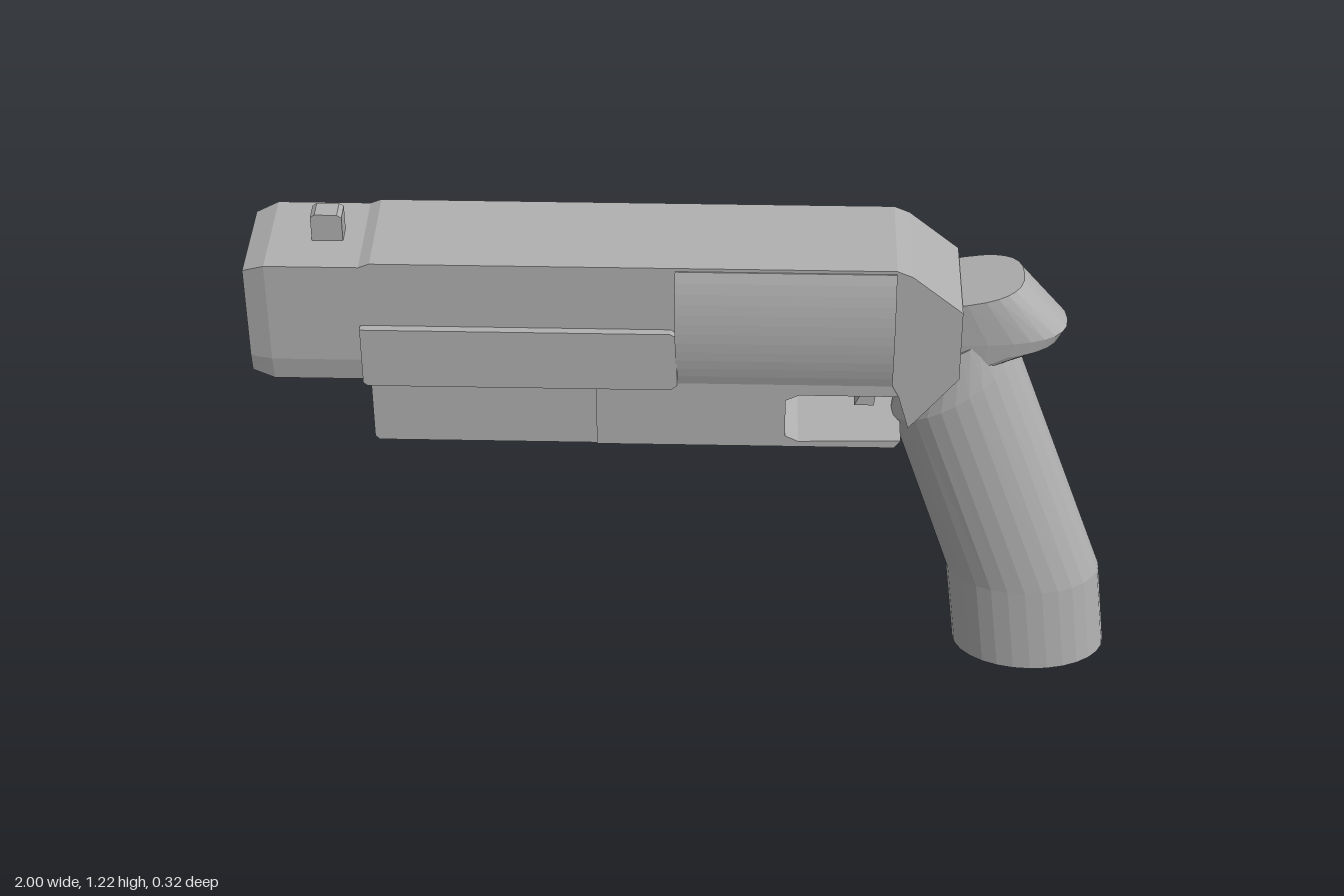
import * as THREE from 'three';

// Skins a list of cross-section rings with flat facets, facing outward
function loft(rings, capStart = true, capEnd = true) {
  const tris = [];
  const n = rings[0].length;
  for (let i = 0; i < rings.length - 1; i++) {
    for (let j = 0; j < n; j++) {
      const k = (j + 1) % n;
      const a = rings[i][j], b = rings[i][k], c = rings[i + 1][k], d = rings[i + 1][j];
      tris.push([a, b, c], [a, c, d]);
    }
  }
  const cap = (ring, flip) => {
    const mid = ring.reduce((s, p) => s.add(p), new THREE.Vector3()).divideScalar(n);
    for (let j = 0; j < n; j++) {
      const a = ring[j], b = ring[(j + 1) % n];
      tris.push(flip ? [mid, b, a] : [mid, a, b]);
    }
  };
  if (capStart) cap(rings[0], true);
  if (capEnd) cap(rings[rings.length - 1], false);
  const origin = rings[0][0];
  let volume = 0;
  for (const [a, b, c] of tris) {
    const u = a.clone().sub(origin), v = b.clone().sub(origin), w = c.clone().sub(origin);
    volume += u.dot(v.cross(w));
  }
  if (volume < 0) tris.forEach((t) => t.reverse());
  const geometry = new THREE.BufferGeometry().setFromPoints(tris.flat());
  geometry.computeVertexNormals();
  return geometry;
}

// Elliptical ring between a front and a rear point in the side plane
function ovalRing([x0, y0], [x1, y1], rz, power = 2, n = 28) {
  const ring = [];
  for (let i = 0; i < n; i++) {
    const a = (i / n) * Math.PI * 2;
    const c = Math.sign(Math.cos(a)) * Math.abs(Math.cos(a)) ** (2 / power);
    const s = Math.sign(Math.sin(a)) * Math.abs(Math.sin(a)) ** (2 / power);
    const t = (c + 1) / 2;
    ring.push(new THREE.Vector3(x0 + (x1 - x0) * t, y0 + (y1 - y0) * t, s * rz));
  }
  return ring;
}

// Side profile extruded evenly about z = 0
function plate(points, halfWidth) {
  const shape = new THREE.Shape(points.map(([x, y]) => new THREE.Vector2(x, y)));
  const geometry = new THREE.ExtrudeGeometry(shape, { depth: halfWidth * 2, bevelEnabled: false });
  return geometry.translate(0, 0, -halfWidth);
}

// Mirrored section of [z, y] points placed at x
function section(x, half) {
  const right = half.map(([z, y]) => new THREE.Vector3(x, y, z));
  const left = half.map(([z, y]) => new THREE.Vector3(x, y, -z)).reverse();
  return [...right, ...left];
}

export function createModel() {
  const model = new THREE.Group();
  const grey = new THREE.MeshStandardMaterial({ color: 0xb0b0b0, side: THREE.DoubleSide });
  grey.name = 'grey';
  const add = (name, geometry) => {
    const mesh = new THREE.Mesh(geometry, grey);
    mesh.name = name;
    model.add(mesh);
  };

  // Main frame with sloped rear and pointed tang
  add('frame', plate([
    [-0.74, 0.84], [0.44, 0.84], [0.465, 0.82], [0.49, 0.73], [0.6, 0.87],
    [0.6, 1.05], [0.485, 1.145], [0.45, 1.16], [-0.715, 1.16], [-0.74, 1.15],
  ], 0.132));

  // Barrel block with chamfered closed muzzle
  const barrelHalf = [[0.122, 0.84], [0.132, 0.9], [0.132, 1.15]];
  add('barrel', loft([
    section(-1, [[0.112, 0.855], [0.12, 0.9], [0.12, 1.13]]),
    section(-0.95, barrelHalf),
    section(-0.72, barrelHalf),
  ]));

  // Bulging drum
  const drumHalf = [];
  for (let i = 0; i <= 12; i++) {
    const y = 0.85 + (i / 12) * 0.302;
    drumHalf.push([0.158 * Math.sqrt(1 - ((y - 1) / 0.29) ** 2), y]);
  }
  add('drum', loft([section(-0.04, drumHalf), section(0.45, drumHalf)]));

  // Side rails, one slab reaching out on both sides
  add('sideRails', plate([
    [-0.745, 0.85], [-0.735, 0.842], [-0.05, 0.842], [-0.035, 0.855],
    [-0.035, 0.985], [-0.05, 0.995], [-0.745, 0.995],
  ], 0.151));

  // Lower fore-end, then the rear housing with the trigger guard
  add('foreEnd', plate([
    [-0.73, 0.685], [-0.72, 0.675], [-0.22, 0.675], [-0.22, 0.85], [-0.73, 0.85],
  ], 0.13));
  add('guardHousing', plate([
    [-0.22, 0.675], [0.46, 0.675], [0.475, 0.695], [0.24, 0.69], [0.21, 0.705],
    [0.21, 0.805], [0.24, 0.82], [0.465, 0.82], [0.45, 0.85], [-0.22, 0.85],
  ], 0.134));

  // Trigger
  add('trigger', plate([
    [0.37, 0.715], [0.415, 0.715], [0.42, 0.76], [0.437, 0.83], [0.4, 0.83], [0.395, 0.77],
  ], 0.025));

  // Front sight
  add('frontSight', plate([
    [-0.855, 1.13], [-0.785, 1.13], [-0.785, 1.21], [-0.795, 1.217], [-0.845, 1.217], [-0.855, 1.21],
  ], 0.025));

  // Curved grip, open at the bottom
  add('grip', loft([
    ovalRing([0.632, 0], [1, 0], 0.121),
    ovalRing([0.605, 0.235], [0.972, 0.235], 0.121),
    ovalRing([0.455, 0.69], [0.737, 0.88], 0.121),
    ovalRing([0.5, 0.86], [0.7, 0.97], 0.1),
  ], false, true));

  // Hammer spur overhanging the grip
  add('hammer', loft([
    ovalRing([0.48, 0.84], [0.69, 0.866], 0.095, 2.6),
    ovalRing([0.48, 0.88], [0.83, 0.918], 0.095, 2.6),
    ovalRing([0.48, 0.93], [0.847, 0.95], 0.098, 2.6),
    ovalRing([0.48, 1.025], [0.742, 1.072], 0.098, 2.6),
  ]));

  return model;
}
